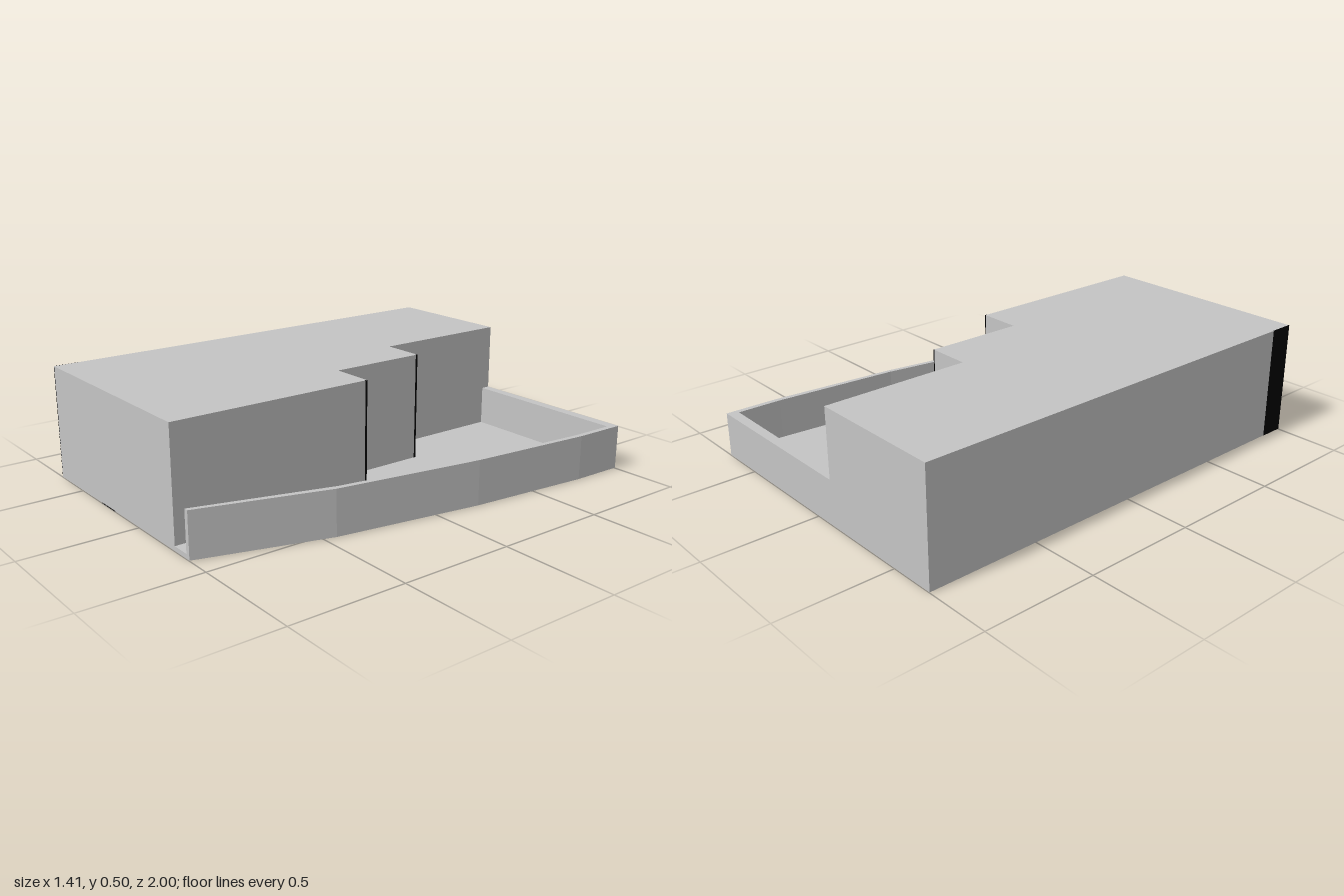
import * as THREE from 'three';

const grey = new THREE.MeshStandardMaterial({ color: 0xc4c4c4 });
grey.name = 'lightGrey';
const black = new THREE.MeshStandardMaterial({ color: 0x000000 });
black.name = 'black';

export function createModel() {
  const model = new THREE.Group();

  // Upright prism from a plan outline of [x, z] points
  const prism = (name, plan, height) => {
    const shape = new THREE.Shape(plan.map(([x, z]) => new THREE.Vector2(x, -z)));
    const geometry = new THREE.ExtrudeGeometry(shape, { depth: height, bevelEnabled: false });
    geometry.rotateX(-Math.PI / 2);
    const mesh = new THREE.Mesh(geometry, grey);
    mesh.name = name;
    model.add(mesh);
  };

  // Thin black plate given by its lower and upper corners
  const plate = (name, [x0, y0, z0], [x1, y1, z1]) => {
    const mesh = new THREE.Mesh(new THREE.BoxGeometry(x1 - x0, y1 - y0, z1 - z0), black);
    mesh.position.set((x0 + x1) / 2, (y0 + y1) / 2, (z0 + z1) / 2);
    mesh.name = name;
    model.add(mesh);
  };

  const outer = [[0.705, -1], [0.7, -0.76], [0.648, -0.2], [0.545, 0.45], [0.385, 1]];
  const inner = [[0.68, -0.955], [0.677, -0.76], [0.628, -0.2], [0.525, 0.43], [0.365, 1]];
  const steps = [[0.28, 1], [0.28, 0.09], [0.09, 0.09], [0.09, -0.35], [-0.1, -0.35]];

  // Tall block with a stepped side
  prism('steppedBlock', [[-0.705, 1], ...steps, [-0.1, -1], [-0.705, -1]], 0.5);

  // Low terrace floor, between the steps and the parapet
  prism('terraceFloor', [...steps, [-0.1, -0.96], ...inner], 0.02);

  // Parapet along the back and the curved side, open at the front
  prism('parapet', [[-0.1, -1], ...outer, ...[...inner].reverse(), [-0.1, -0.96]], 0.197);

  // Dark strips under the base and on the outer wall
  plate('undersideLongStrip', [-0.32, -0.002, -0.95], [-0.205, 0.002, 1]);
  plate('undersideBackStrip', [-0.7, -0.002, -0.99], [0.66, 0.002, -0.955]);
  plate('sideStrip', [-0.707, 0, 0.89], [-0.703, 0.5, 1]);

  // Dark lines at the corners of the steps
  for (const [x, z] of [[0.28, 0.09], [0.09, -0.35]]) {
    plate('cornerLine', [x - 0.004, 0.02, z - 0.001], [x + 0.001, 0.5, z + 0.008]);
  }
  return model;
}
